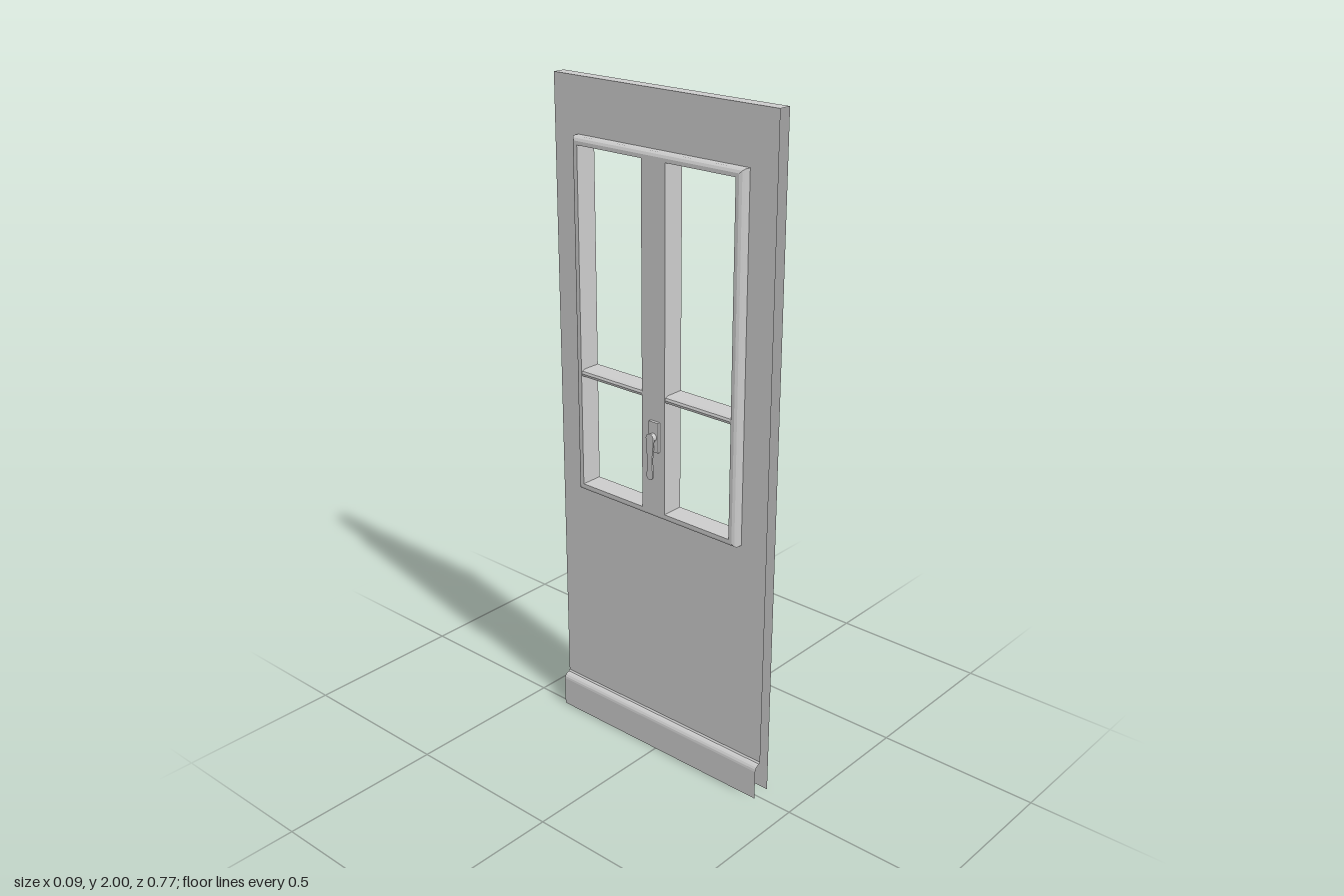
import * as THREE from 'three';

const mat = new THREE.MeshStandardMaterial({ color: 0xcccccc, side: THREE.DoubleSide });

// Joins cross-sections (arrays of [x, y, z]) into a faceted surface
function skin(sections, closed) {
  const pos = [];
  for (let i = 0; i < sections.length - 1; i++) {
    const a = sections[i], b = sections[i + 1];
    const n = a.length;
    for (let j = 0; j < (closed ? n : n - 1); j++) {
      const k = (j + 1) % n;
      pos.push(...a[j], ...b[j], ...b[k], ...a[j], ...b[k], ...a[k]);
    }
  }
  const g = new THREE.BufferGeometry();
  g.setAttribute('position', new THREE.Float32BufferAttribute(pos, 3));
  g.computeVertexNormals();
  return g;
}

// Runs an x-y profile along z
function alongZ(profile, z0, z1, closed = false) {
  return skin([z0, z1].map(z => profile.map(([x, y]) => [x, y, z])), closed);
}

// Flat sheet in the z-y plane with the window cut out
function panelGeometry(x, y0, facing) {
  const s = new THREE.Shape();
  s.moveTo(-0.385, y0).lineTo(0.385, y0).lineTo(0.385, 2).lineTo(-0.385, 2).closePath();
  const h = new THREE.Path();
  h.moveTo(-0.294, 0.79).lineTo(-0.294, 1.84).lineTo(0.294, 1.84).lineTo(0.294, 0.79).closePath();
  s.holes.push(h);
  return new THREE.ShapeGeometry(s).rotateY(facing * Math.PI / 2).translate(x, 0, 0);
}

export function createModel() {
  const door = new THREE.Group();
  door.name = 'door';
  const add = (name, geometry, parent = door) => {
    const m = new THREE.Mesh(geometry, mat);
    m.name = name;
    parent.add(m);
    return m;
  };
  const front = 0.045, back = 0.007, rim = -0.023;

  // Hollow door leaf: two sheets and a top edge
  add('outerPanel', panelGeometry(front, 0, 1));
  add('innerPanel', panelGeometry(back, 0.115, -1));
  add('topEdge', alongZ([[front, 2], [back, 2]], -0.385, 0.385));

  // Weather board at the foot, curved at its top
  const board = [[back, 0.115]];
  for (let i = 0; i <= 4; i++) {
    const a = (i / 4) * Math.PI / 2;
    board.push([0.003 - 0.018 * Math.sin(a), 0.092 + 0.018 * Math.cos(a)]);
  }
  board.push([-0.015, 0]);
  add('weatherBoard', alongZ(board, -0.385, 0.385));

  // Window frame: [inset, x] profile carried round the rectangle
  const rect = ([d, x]) => [
    [x, 0.79 + d, -0.297 + d], [x, 0.79 + d, 0.297 - d],
    [x, 1.842 - d, 0.297 - d], [x, 1.842 - d, -0.297 + d],
  ];
  const frame = [[0.022, front], [0.002, front], [0, front - 0.001], [0, -0.012],
    [0.004, -0.019], [0.011, rim], [0.022, rim], [0.022, front]];
  add('windowFrame', skin(frame.map(rect), true));

  // Central mullion: a channel open toward the outer side
  const channel = [[front, 0.042], [rim, 0.042], [rim, -0.042], [front, -0.042]];
  add('mullion', skin([0.81, 1.82].map(y => channel.map(([x, z]) => [x, y, z])), false));

  // Cross bars between mullion and frame
  const bar = [[front, 1.148], [front, 1.171], [-0.01, 1.171], [-0.019, 1.167],
    [-0.022, 1.16], [-0.019, 1.152], [-0.01, 1.148]];
  for (const s of [-1, 1]) {
    add('crossBar', alongZ(bar, Math.min(s * 0.042, s * 0.277), Math.max(s * 0.042, s * 0.277), true));
  }

  // Handle on the inner side
  const handle = new THREE.Group();
  handle.name = 'handle';
  handle.position.z = 0.008;
  door.add(handle);
  add('handlePlate', new THREE.BoxGeometry(0.009, 0.09, 0.034).translate(rim - 0.0045, 1.045, 0), handle);
  add('handleHub', new THREE.CylinderGeometry(0.012, 0.012, 0.016, 16)
    .rotateZ(Math.PI / 2).translate(-0.038, 1.045, 0), handle);
  const lever = new THREE.Shape();
  lever.moveTo(-0.013, 1.045).absarc(0, 1.045, 0.014, Math.PI, 0, true);
  lever.lineTo(0.009, 0.98).lineTo(0.011, 0.93).absarc(0, 0.93, 0.011, 0, -Math.PI, true);
  lever.lineTo(-0.009, 0.98).closePath();
  add('handleLever', new THREE.ExtrudeGeometry(lever, { depth: 0.005, bevelEnabled: false, curveSegments: 8 })
    .rotateY(-Math.PI / 2).translate(-0.043, 0, 0), handle);

  return door;
}
